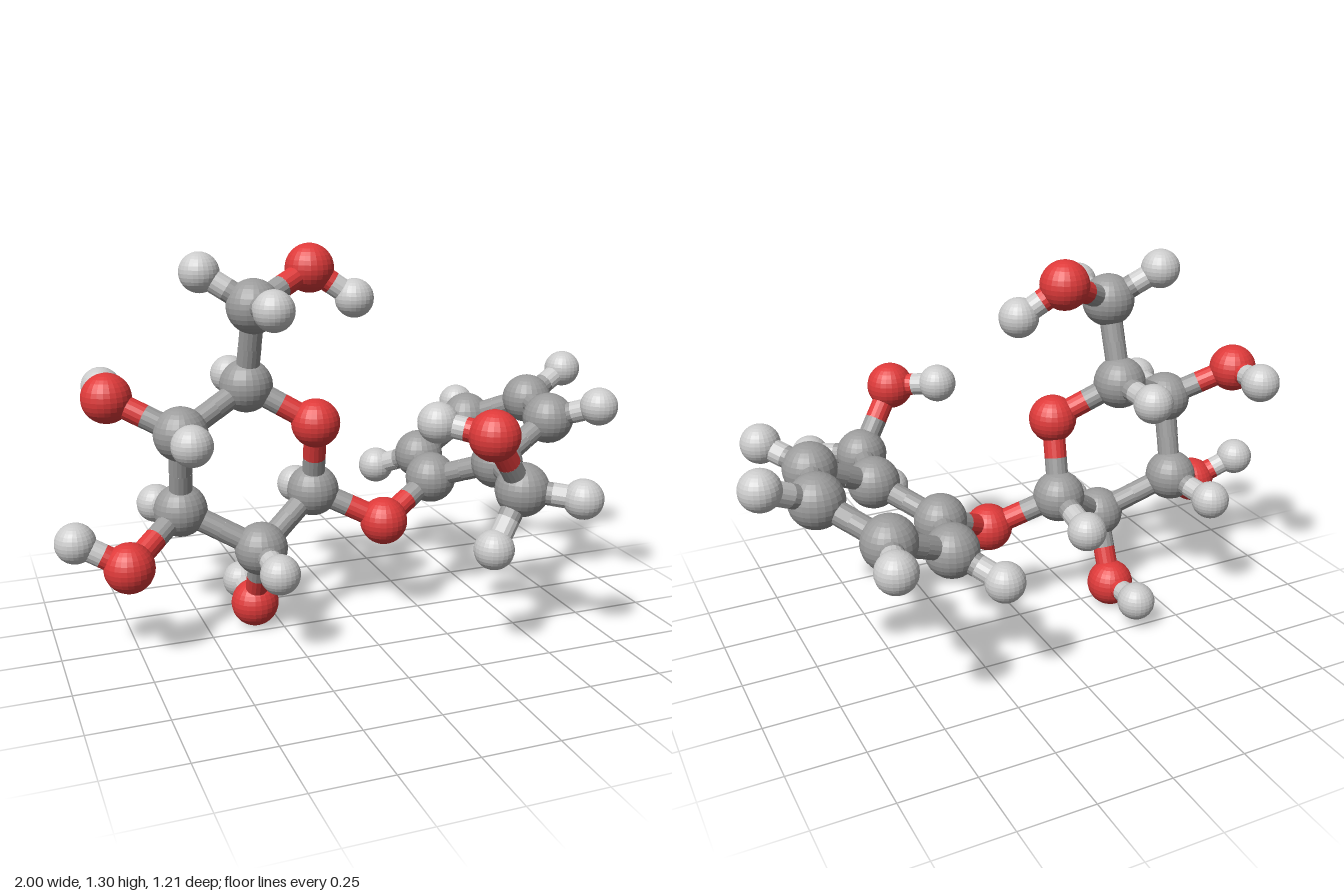
import * as THREE from 'three';

// Look of each kind of atom
const KINDS = {
  C: { name: 'carbon', radius: 0.088, color: 0x9c9c9c },
  O: { name: 'oxygen', radius: 0.081, color: 0xdf3a3a },
  H: { name: 'hydrogen', radius: 0.065, color: 0xcccccc },
};
const BOND_RADIUS = 0.038;

// Atom centres; the first letter gives the kind
const SUGAR = {
  C1: [-0.125, 0.475, -0.05], C2: [-0.34, 0.325, 0.05], C3: [-0.585, 0.46, -0.04],
  C4: [-0.59, 0.735, 0.03], C5: [-0.35, 0.855, -0.055], O5: [-0.14, 0.73, 0.03],
  C6: [-0.34, 1.125, 0.02],
  H1: [-0.12, 0.435, -0.26], H2: [-0.335, 0.305, 0.245], H3: [-0.63, 0.43, -0.23],
  H4: [-0.6, 0.75, 0.235], H5: [-0.35, 0.85, -0.27],
  H6a: [-0.495, 1.23, -0.05], H6b: [-0.335, 1.14, 0.225],
  O2: [-0.335, 0.09, -0.06], HO2: [-0.335, 0.105, -0.24],
  O3: [-0.785, 0.34, 0.11], HO3: [-0.94, 0.425, 0.06],
  O4: [-0.8, 0.845, -0.075], HO4: [-0.79, 0.845, -0.25],
  O6: [-0.12, 1.225, -0.08], HO6: [0.02, 1.125, -0.035],
  O1: [0.1, 0.365, 0.04],
};
const AROMATIC = {
  Ca: [0.31, 0.475, -0.04], Cb: [0.47, 0.565, 0.15], Cc: [0.7, 0.685, 0.085],
  Cd: [0.755, 0.695, -0.17], Ce: [0.595, 0.6, -0.345], Cf: [0.37, 0.49, -0.28],
  Hc: [0.82, 0.745, 0.215], Hd: [0.93, 0.785, -0.22],
  He: [0.645, 0.61, -0.54], Hf: [0.255, 0.42, -0.42],
  C7: [0.42, 0.555, 0.42], H7a: [0.575, 0.54, 0.535], H7b: [0.3, 0.385, 0.47],
  O7: [0.275, 0.765, 0.495], HO7: [0.14, 0.79, 0.378],
};

// Chains of bonded atoms
const CHAINS = [
  'C1 C2 C3 C4 C5 O5 C1', 'Ca Cb Cc Cd Ce Cf Ca', 'C1 O1 Ca', 'C5 C6 O6 HO6',
  'C2 O2 HO2', 'C3 O3 HO3', 'C4 O4 HO4', 'Cb C7 O7 HO7',
  'C1 H1', 'C2 H2', 'C3 H3', 'C4 H4', 'C5 H5', 'H6a C6 H6b', 'H7a C7 H7b',
  'Cc Hc', 'Cd Hd', 'Ce He', 'Cf Hf',
];

export function createModel() {
  const model = new THREE.Group();
  model.name = 'molecule';

  // One shared sphere and material for each kind
  const parts = {};
  for (const [key, { radius, color }] of Object.entries(KINDS)) {
    parts[key] = {
      sphere: new THREE.SphereGeometry(radius, 24, 16),
      material: new THREE.MeshStandardMaterial({ color, flatShading: true }),
    };
  }

  // Atoms
  const atoms = {};
  const addAtoms = (name, table) => {
    const group = new THREE.Group();
    group.name = name;
    for (const [id, position] of Object.entries(table)) {
      const kind = id[0];
      const atom = new THREE.Mesh(parts[kind].sphere, parts[kind].material);
      atom.name = KINDS[kind].name + 'Atom';
      atom.position.set(...position);
      atoms[id] = { kind, position: atom.position };
      group.add(atom);
    }
    model.add(group);
  };
  addAtoms('sugarRingAtoms', SUGAR);
  addAtoms('flatRingAtoms', AROMATIC);

  // Bonds: two half rods, each in the colour of its own atom
  const bonds = new THREE.Group();
  bonds.name = 'bonds';
  const rod = new THREE.CylinderGeometry(BOND_RADIUS, BOND_RADIUS, 1, 16, 1, true);
  const up = new THREE.Vector3(0, 1, 0);
  const addHalf = (atom, middle) => {
    const along = middle.clone().sub(atom.position);
    const half = new THREE.Mesh(rod, parts[atom.kind].material);
    half.name = KINDS[atom.kind].name + 'HalfBond';
    half.position.copy(atom.position).lerp(middle, 0.5);
    half.scale.y = along.length();
    half.quaternion.setFromUnitVectors(up, along.normalize());
    bonds.add(half);
  };
  for (const chain of CHAINS) {
    const ids = chain.split(' ');
    for (let i = 1; i < ids.length; i++) {
      const a = atoms[ids[i - 1]], b = atoms[ids[i]];
      const middle = a.position.clone().lerp(b.position, 0.5);
      addHalf(a, middle);
      addHalf(b, middle);
    }
  }
  model.add(bonds);
  return model;
}
